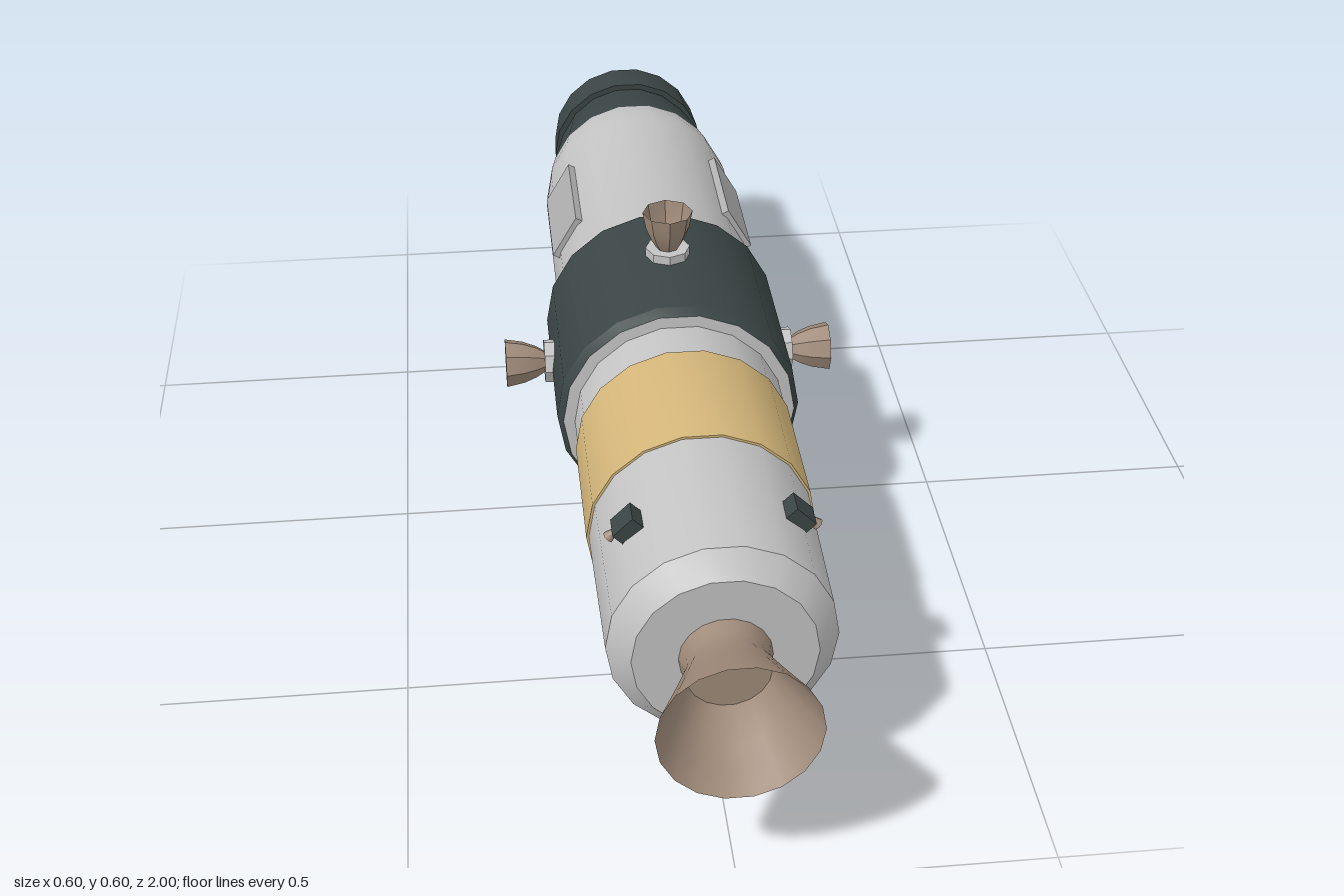
import * as THREE from 'three';
import { toCreasedNormals } from 'three/addons/utils/BufferGeometryUtils.js';

const AXIS_Y = 0.3;

const paint = (name, color, side = THREE.FrontSide) => {
  const m = new THREE.MeshStandardMaterial({ color, side });
  m.name = name;
  return m;
};

export function createModel() {
  const model = new THREE.Group();
  model.name = 'spacecraft';
  const grey = paint('lightGrey', 0xc4c4c4);
  const panelGrey = paint('panelGrey', 0xb0b0b0);
  const dark = paint('darkSlate', 0x3b4545);
  const gold = paint('goldFoil', 0xd4b67a);
  const brown = paint('nozzleBrown', 0xa08b7a, THREE.DoubleSide);

  // Everything hangs on the long axis
  const ship = new THREE.Group();
  ship.name = 'hull';
  ship.position.y = AXIS_Y;
  model.add(ship);

  const add = (parent, name, geometry, material, x = 0, y = 0, z = 0) => {
    const mesh = new THREE.Mesh(geometry, material);
    mesh.name = name;
    mesh.position.set(x, y, z);
    parent.add(mesh);
    return mesh;
  };

  // Turned shape along z from [radius, z] pairs, back to front
  const turned = (name, material, profile, crease = 0.5) => {
    const points = profile.map(([r, z]) => new THREE.Vector2(r, z));
    const geo = new THREE.LatheGeometry(points, 18, Math.PI / 2).rotateX(Math.PI / 2);
    return add(ship, name, toCreasedNormals(geo, crease), material);
  };

  // Rear docking end
  turned('dockingRing', dark, [
    [0.0, -0.885], [0.128, -0.885], [0.135, -0.968], [0.154, -0.968], [0.159, -0.88], [0.146, -0.88],
  ]);
  turned('rearTaper', dark, [[0.146, -0.885], [0.152, -0.865], [0.178, -0.735]]);
  const dome = new THREE.SphereGeometry(0.115, 20, 8, 0, Math.PI * 2, 0, Math.PI / 2).rotateX(-Math.PI / 2);
  add(ship, 'rearDome', dome, dark, 0, 0, -0.885);

  // Rear module, flaring into the collar
  turned('rearModule', grey, [
    [0.178, -0.735], [0.187, -0.69], [0.191, -0.65], [0.191, -0.225], [0.196, -0.21], [0.208, -0.2], [0.212, -0.185],
  ]);
  turned('collar', dark, [[0.205, -0.187], [0.216, -0.185], [0.216, 0.145], [0.206, 0.163]]);
  turned('collarFrontFace', grey, [[0.206, 0.163], [0.186, 0.165]]);

  // Front module with foil band
  turned('frontModule', grey, [
    [0.186, 0.16], [0.186, 0.5], [0.181, 0.787], [0.145, 0.825], [0, 0.825],
  ]);
  turned('foilBand', gold, [[0.184, 0.25], [0.19, 0.25], [0.19, 0.505], [0.184, 0.505]]);

  // Main engine
  turned('mainNozzle', brown, [
    [0.074, 0.82], [0.067, 0.85], [0.068, 0.868], [0.09, 0.92], [0.11, 0.965], [0.126, 1.0],
  ]);
  turned('mainNozzleThroat', brown, [[0.067, 0.86], [0, 0.86]]);

  // Four large thrusters around the collar
  const bellPoints = [[0.018, 0.225], [0.03, 0.245], [0.039, 0.268], [0.045, 0.3]]
    .map(([r, y]) => new THREE.Vector2(r, y));
  const bell = toCreasedNormals(new THREE.LatheGeometry(bellPoints, 8), 0.5);
  for (let i = 0; i < 4; i++) {
    const thruster = new THREE.Group();
    thruster.name = 'collarThruster';
    thruster.position.z = -0.04;
    thruster.rotation.z = i * Math.PI / 2;
    ship.add(thruster);
    const base = toCreasedNormals(new THREE.CylinderGeometry(0.04, 0.04, 0.022, 8), 0.5);
    add(thruster, 'thrusterBase', base, grey, 0, 0.218, 0);
    add(thruster, 'thrusterBell', bell, brown);
  }

  // Four small attitude blocks on the front module, nozzles toward the sides
  for (const sx of [-1, 1]) for (const sy of [-1, 1]) {
    const block = new THREE.Group();
    block.name = 'attitudeBlock';
    block.position.z = 0.655;
    block.rotation.z = Math.atan2(sy, sx);
    ship.add(block);
    add(block, 'attitudeHousing', new THREE.BoxGeometry(0.026, 0.044, 0.044), dark, 0.19, 0, 0);
    const t = -sx * sy;
    const cone = new THREE.CylinderGeometry(0.005, 0.01, 0.018, 8, 1, true);
    const nozzle = add(block, 'attitudeNozzle', cone, brown, 0.195, t * 0.029, 0);
    if (t > 0) nozzle.rotation.z = Math.PI;
  }

  // Three flat panels on the rear module
  for (const degrees of [30, 150, 270]) {
    const mount = new THREE.Group();
    mount.name = 'panelMount';
    mount.rotation.z = degrees * Math.PI / 180;
    ship.add(mount);
    add(mount, 'sidePanel', new THREE.BoxGeometry(0.014, 0.092, 0.228), panelGrey, 0.191, 0, -0.443);
  }

  // Small sensors underneath
  add(ship, 'sensorStem', new THREE.CylinderGeometry(0.005, 0.005, 0.02, 8), dark, 0.01, -0.203, -0.37);
  add(ship, 'sensorBall', new THREE.SphereGeometry(0.012, 10, 8), grey, 0.01, -0.212, -0.37);
  add(ship, 'sensorHorn', new THREE.CylinderGeometry(0.005, 0.013, 0.024, 8), gold, -0.03, -0.21, -0.37);

  return model;
}
